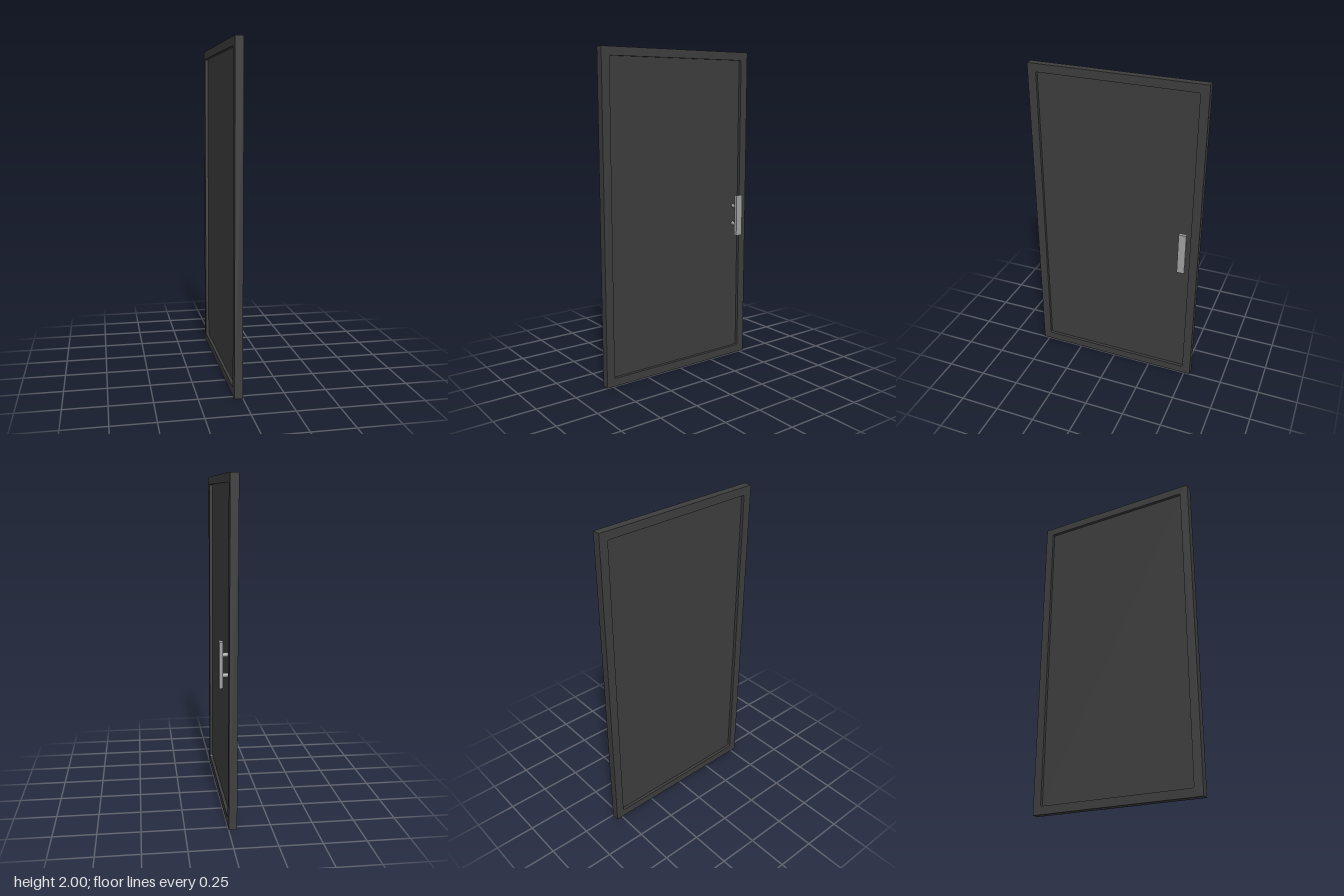
import * as THREE from 'three';

const frameMat = new THREE.MeshStandardMaterial({ color: 0x3d3d3d });
frameMat.name = 'charcoal';
const handleMat = new THREE.MeshStandardMaterial({ color: 0xa0a0a0 });
handleMat.name = 'satinSteel';

// Adds a named mesh to its parent
function add(parent, name, geometry, material, x, y, z) {
  const mesh = new THREE.Mesh(geometry, material);
  mesh.name = name;
  mesh.position.set(x, y, z);
  parent.add(mesh);
  return mesh;
}

// Traces a rectangle with slightly rounded corners
function roundedRect(path, w, h, r) {
  path.moveTo(-w + r, -h);
  path.lineTo(w - r, -h);
  path.quadraticCurveTo(w, -h, w, -h + r);
  path.lineTo(w, h - r);
  path.quadraticCurveTo(w, h, w - r, h);
  path.lineTo(-w + r, h);
  path.quadraticCurveTo(-w, h, -w, h - r);
  path.lineTo(-w, -h + r);
  path.quadraticCurveTo(-w, -h, -w + r, -h);
  return path;
}

export function createModel() {
  const door = new THREE.Group();
  door.name = 'door';

  // Outer frame with its opening, extruded along x
  const outline = new THREE.Shape([
    new THREE.Vector2(-0.538, -1), new THREE.Vector2(0.538, -1),
    new THREE.Vector2(0.538, 1), new THREE.Vector2(-0.538, 1),
  ]);
  outline.holes.push(roundedRect(new THREE.Path(), 0.486, 0.95, 0.008));
  const frame = new THREE.ExtrudeGeometry(outline, { depth: 0.048, bevelEnabled: false, curveSegments: 4 });
  frame.rotateY(Math.PI / 2);
  add(door, 'frame', frame, frameMat, -0.049, 1, 0);

  // Panel recessed on both faces
  add(door, 'panel', new THREE.BoxGeometry(0.01, 1.904, 0.976), frameMat, -0.025, 1, 0);

  // Pull handle: flat grip on two round posts
  const handle = new THREE.Group();
  handle.name = 'handle';
  door.add(handle);
  add(handle, 'grip', new THREE.BoxGeometry(0.021, 0.265, 0.046), handleMat, 0.036, 0.958, -0.447);
  for (const y of [0.897, 1.014]) {
    const post = new THREE.CylinderGeometry(0.0128, 0.0128, 0.048, 24);
    post.rotateZ(Math.PI / 2);
    add(handle, 'post', post, handleMat, 0.003, y, -0.448);
  }
  return door;
}
